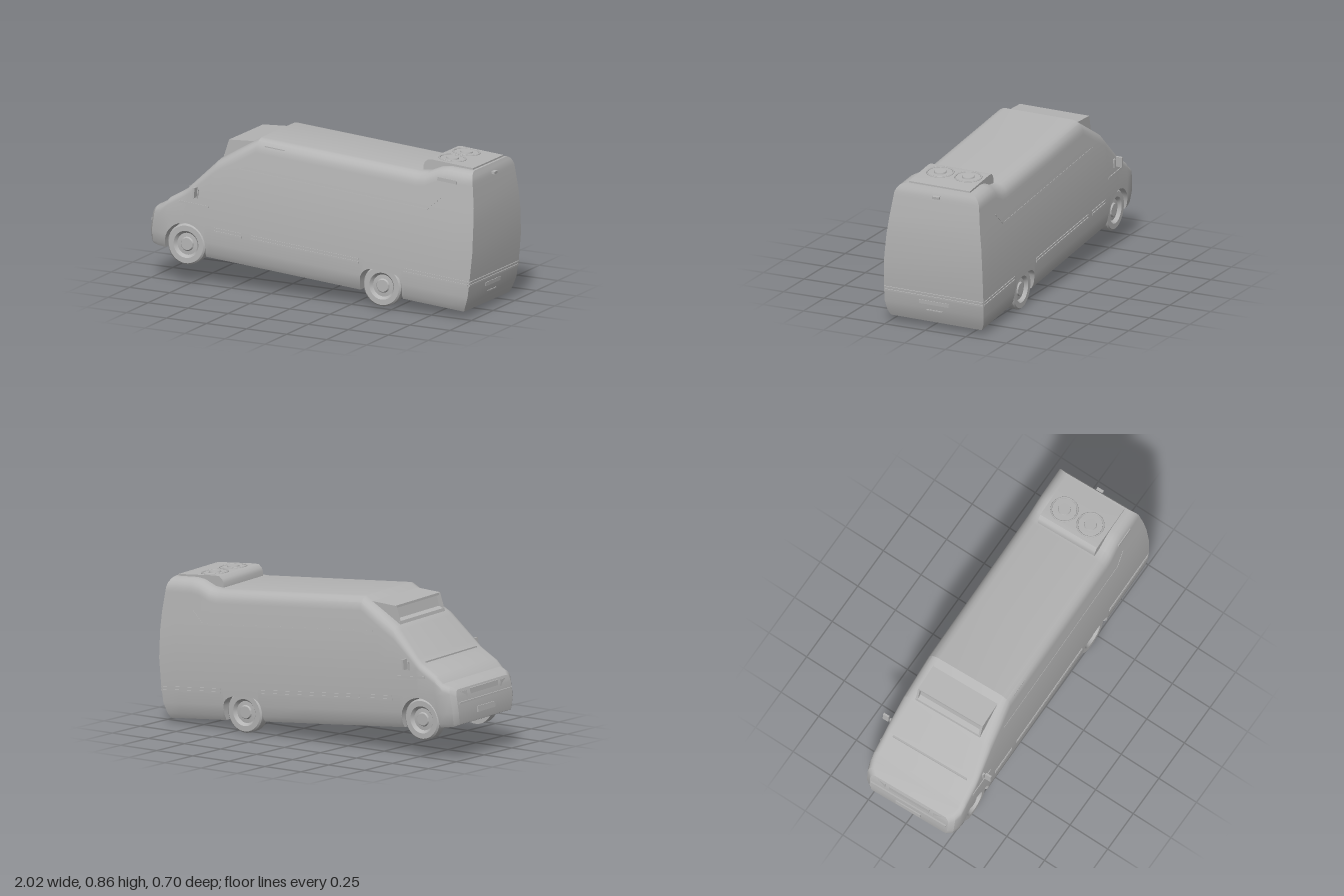
import * as THREE from 'three';
import { toCreasedNormals } from 'three/addons/utils/BufferGeometryUtils.js';

const paint = new THREE.MeshStandardMaterial({ color: 0xb4b4b4 });
paint.name = 'grey';

// Piecewise-linear lookup
function lerpTable(t, x) {
  if (x <= t[0][0]) return t[0][1];
  for (let i = 1; i < t.length; i++) {
    const [a, va] = t[i - 1], [b, vb] = t[i];
    if (x <= b) return va + (vb - va) * (x - a) / (b - a);
  }
  return t[t.length - 1][1];
}

// Half width by height, roof line by length, tail curve by height
const WIDTH = [[0.11, 0.275], [0.14, 0.29], [0.2, 0.3], [0.3, 0.302], [0.45, 0.299], [0.6, 0.288], [0.7, 0.275], [0.8, 0.262], [0.9, 0.25]];
const ROOF = [[-1.02, 0.325], [-1, 0.345], [-0.965, 0.362], [-0.811, 0.47], [-0.64, 0.67], [-0.418, 0.828], [0.57, 0.833], [0.62, 0.842], [0.69, 0.878], [0.74, 0.888], [0.97, 0.892]];
const TAIL = [[0.11, 0.933], [0.18, 0.958], [0.28, 0.963], [0.48, 0.964], [0.68, 0.942], [0.855, 0.905], [0.892, 0.885]];
const TAPER = [[-1.02, 0.84], [-1, 0.94], [-0.965, 0.985], [-0.92, 1]];
const CORNER = [[-0.8, 0.04], [-0.6, 0.075]];
const LEVELS = [0.14, 0.2, 0.3, 0.45, 0.6, 0.7, 0.8];
const noseU = v => -1.02 + 1.2 * (v - 0.22) ** 2;
const sideW = v => lerpTable(WIDTH, v);

const WHEEL_V = 0.158, FRONT_U = -0.784, REAR_U = 0.424;

// Arch outline as [u, bottom] stations, with vertical ends
function arch(u, radius, height, power, floor) {
  const out = [[u - radius, floor]];
  for (let i = 0; i <= 16; i++) {
    const t = -Math.cos(Math.PI * i / 16);
    const rise = Math.pow(Math.max(0, 1 - Math.abs(t) ** power), 1 / power);
    out.push([u + radius * t, WHEEL_V + height * rise]);
  }
  out.push([u + radius, 0.111]);
  return out;
}

// Half section from sill to roof edge
function halfSection(u, bottom) {
  const top = lerpTable(ROOF, u), r = lerpTable(CORNER, u), s = lerpTable(TAPER, u);
  const shoulder = top - r;
  const pts = [[sideW(bottom), bottom]];
  for (const l of LEVELS) {
    const v = Math.min(Math.max(l, bottom), shoulder);
    pts.push([sideW(v), v]);
  }
  for (let i = 0; i <= 5; i++) {
    const a = i / 5 * Math.PI / 2;
    pts.push([sideW(shoulder) - r * 0.9 * (1 - Math.cos(a)), shoulder + r * Math.sin(a)]);
  }
  return pts.map(([w, v]) => [w * s, v]);
}

function bodyGeometry() {
  const stations = [
    [-1.02, 0.13], [-1, 0.123], [-0.965, 0.12],
    ...arch(FRONT_U, 0.125, 0.125, 2, 0.118),
    [-0.64, 0.111], [-0.53, 0.111], [-0.418, 0.111], [0, 0.111],
    ...arch(REAR_U, 0.13, 0.094, 3, 0.111),
    [0.57, 0.111], [0.62, 0.111], [0.69, 0.111], [0.74, 0.111], [0.85, 0.111], [0.97, 0.111]];
  const pos = [], idx = [];
  let n = 0;
  stations.forEach(([u, b], i) => {
    const half = halfSection(u, b);
    const ring = [...half, ...half.map(([w, v]) => [-w, v]).reverse()];
    n = ring.length;
    for (const [w, v] of ring) {
      let x = u;
      if (i < 3) x += noseU(v) + 1.02;
      if (i === stations.length - 1) x = lerpTable(TAIL, v);
      pos.push(x, v, w);
    }
  });
  const last = stations.length - 1;
  for (let i = 0; i < last; i++) for (let j = 0; j < n; j++) {
    const k = (j + 1) % n, a = i * n + j, d = i * n + k;
    idx.push(a, a + n, d + n, a, d + n, d);
  }
  // Nose and tail faces
  for (let j = 0; j < n / 2 - 1; j++) {
    const p = j, p2 = j + 1, m = n - 1 - j, m2 = n - 2 - j, o = last * n;
    idx.push(m, p, p2, m, p2, m2);
    idx.push(o + p, o + m, o + m2, o + p, o + m2, o + p2);
  }
  const g = new THREE.BufferGeometry();
  g.setAttribute('position', new THREE.Float32BufferAttribute(pos, 3));
  g.setIndex(idx);
  return toCreasedNormals(g, 0.45);
}

export function createModel() {
  const model = new THREE.Group();
  const van = new THREE.Group();
  van.name = 'van';
  model.add(van);

  function add(name, geo, x = 0, y = 0, z = 0) {
    const m = new THREE.Mesh(geo, paint);
    m.name = name;
    m.position.set(x, y, z);
    van.add(m);
    return m;
  }
  const box = (name, sx, sy, sz, x, y, z) => add(name, new THREE.BoxGeometry(sx, sy, sz), x, y, z);
  // Thin strip lying on a flank between two points
  function strip(name, side, u0, v0, u1, v1, h, out = 0.004) {
    const v = (v0 + v1) / 2, e = 0.01;
    const m = box(name, Math.hypot(u1 - u0, v1 - v0), h, 0.012, (u0 + u1) / 2, v, side * (sideW(v) + out - 0.006));
    m.rotation.order = 'XYZ';
    m.rotation.x = side * Math.atan((sideW(v + e) - sideW(v - e)) / (2 * e));
    m.rotation.z = Math.atan2(v1 - v0, u1 - u0);
  }
  // Side profile extruded across the width
  function slab(name, pts, width) {
    const g = new THREE.ExtrudeGeometry(new THREE.Shape(pts.map(p => new THREE.Vector2(...p))), { depth: width, bevelEnabled: false });
    return add(name, toCreasedNormals(g, 0.6), 0, 0, -width / 2);
  }

  add('body', bodyGeometry());
  for (const u of [FRONT_U, REAR_U]) box('underbody', 0.27, 0.14, 0.4, u, 0.183, 0);

  // Wheels, lathed with a sunken rim and a raised hub
  const tyre = [[0, 0.022], [0.034, 0.022], [0.04, 0.014], [0.062, 0.012], [0.07, 0.024], [0.076, 0.031], [0.106, 0.031], [0.115, 0.022], [0.115, -0.031], [0, -0.031]];
  const wheelGeo = toCreasedNormals(new THREE.LatheGeometry(tyre.map(p => new THREE.Vector2(...p)).reverse(), 32), 0.5);
  for (const u of [FRONT_U, REAR_U]) for (const side of [1, -1]) {
    add('wheel', wheelGeo, u, WHEEL_V, side * 0.252).rotation.x = side * Math.PI / 2;
  }

  for (const side of [1, -1]) {
    // Lower mouldings and feature lines
    for (const [a, b] of [[-0.61, -0.44], [-0.39, 0.28], [0.56, 0.955]]) {
      strip('sideMoulding', side, a, 0.27, b, 0.27, 0.01);
      strip('sideMoulding', side, a, 0.288, b, 0.288, 0.008);
    }
    strip('wingMoulding', side, -0.84, 0.398, -0.66, 0.398, 0.012);
    strip('flankLine', side, -0.5, 0.645, 0.66, 0.645, 0.004, 0.002);
    strip('flankLine', side, 0.66, 0.645, 0.73, 0.72, 0.004, 0.002);
    // Door mirrors and headlamps
    box('mirror', 0.012, 0.058, 0.036, -0.735, 0.475, side * 0.333);
    box('mirrorBase', 0.014, 0.05, 0.012, -0.735, 0.46, side * 0.301);
    const lamp = box('headlamp', 0.008, 0.05, 0.1, -1.007, 0.285, side * 0.205);
    lamp.rotation.y = side * 0.1;
  }

  // Brackets high on the left flank
  box('bracket', 0.12, 0.02, 0.02, -0.31, 0.787, 0.248);
  box('bracket', 0.12, 0.02, 0.02, 0.755, 0.822, 0.253);

  // Nose
  box('grille', 0.012, 0.03, 0.26, noseU(0.3), 0.3, 0);
  box('bumperRidge', 0.012, 0.01, 0.49, noseU(0.25) - 0.001, 0.25, 0);
  box('frontPlate', 0.01, 0.032, 0.16, noseU(0.19) - 0.002, 0.19, 0);
  box('wiperPanel', 0.012, 0.008, 0.48, -0.808, 0.474, 0);

  // Roof pod over the windscreen with a recessed front
  slab('roofPod', [[-0.61, 0.68], [-0.45, 0.79], [-0.47, 0.795], [-0.595, 0.775]], 0.4);
  slab('podTop', [[-0.614, 0.763], [-0.42, 0.793], [-0.42, 0.803], [-0.614, 0.776]], 0.42);
  slab('podSill', [[-0.638, 0.665], [-0.6, 0.69], [-0.6, 0.705], [-0.634, 0.69]], 0.42);
  for (const side of [1, -1]) {
    slab('podCheek', [[-0.638, 0.665], [-0.42, 0.79], [-0.614, 0.772]], 0.012).position.z += side * 0.204;
  }

  // Roof unit with two fans
  slab('roofUnit', [[0.57, 0.82], [0.88, 0.82], [0.87, 0.9], [0.62, 0.9], [0.592, 0.896], [0.575, 0.88], [0.568, 0.86]], 0.37);
  const ring = new THREE.TorusGeometry(0.073, 0.005, 6, 32).rotateX(Math.PI / 2);
  const hub = new THREE.CylinderGeometry(0.033, 0.036, 0.01, 24);
  for (const w of [-0.09, 0.08]) {
    add('fanRing', ring, 0.69, 0.9, w);
    add('fanHub', hub, 0.69, 0.903, w);
  }

  // Tail
  box('tailMoulding', 0.012, 0.01, 0.6, 0.961, 0.27, 0);
  box('tailMoulding', 0.012, 0.008, 0.6, 0.962, 0.288, 0);
  box('tailPlate', 0.01, 0.022, 0.178, 0.959, 0.235, 0);
  box('tailStep', 0.008, 0.006, 0.1, 0.957, 0.19, 0);
  box('tailLamp', 0.022, 0.014, 0.04, 0.912, 0.848, 0);

  // Pose: slight pitch, yaw and roll
  const x = new THREE.Vector3(1, -0.081, -0.028).normalize();
  const y = new THREE.Vector3(0.028, 0.025, 1).cross(x).normalize();
  const z = x.clone().cross(y);
  van.quaternion.setFromRotationMatrix(new THREE.Matrix4().makeBasis(x, y, z));
  van.position.set(0, 0, -0.008);
  return model;
}
